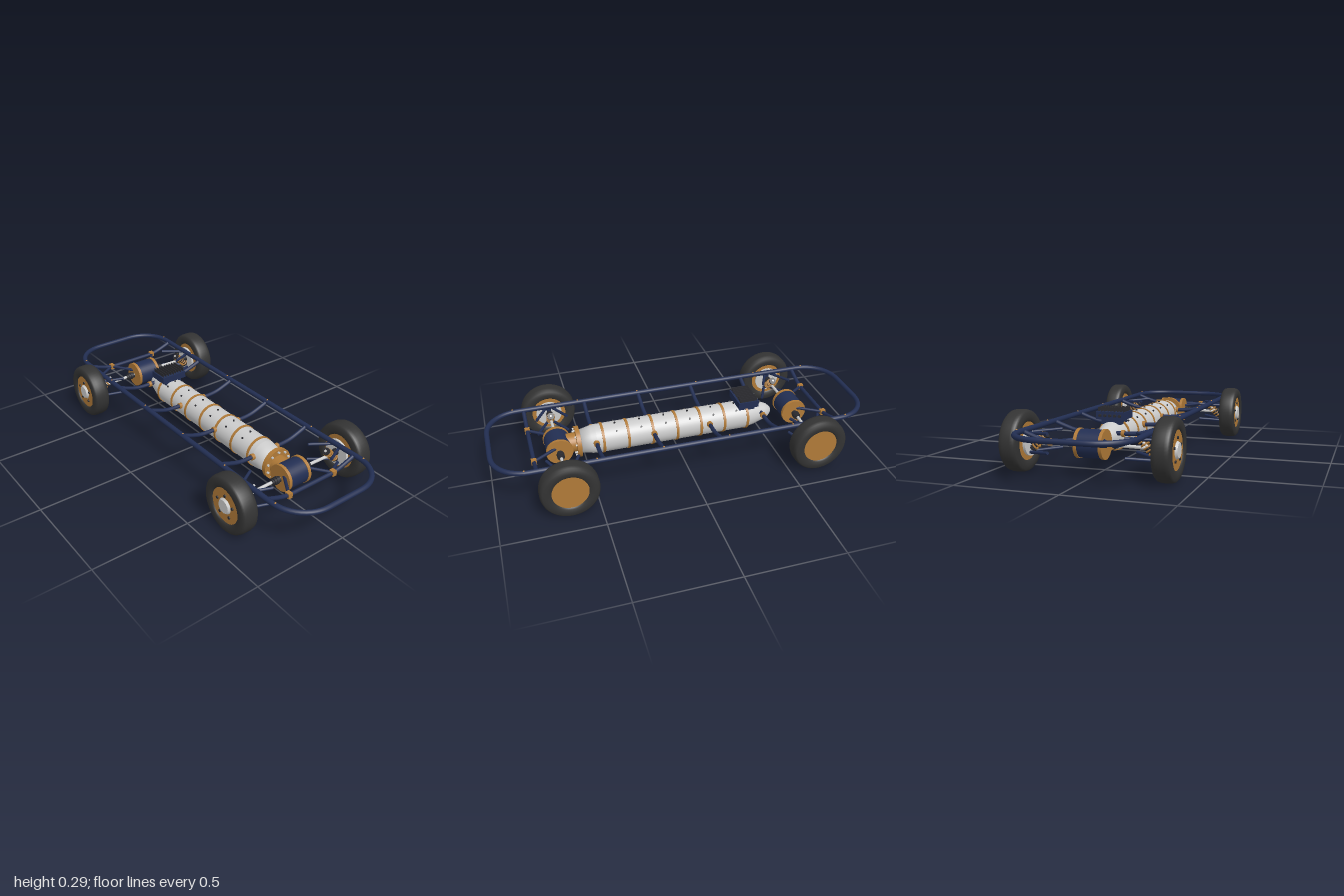
import * as THREE from 'three';

const mat = (color) => new THREE.MeshStandardMaterial({ color });
const navy = mat(0x222e52), brass = mat(0xb07a38), rubber = mat(0x333333);
const grey = mat(0xcccccc), black = mat(0x2b2b30);
const V = (x, y, z) => new THREE.Vector3(x, y, z);

function add(parent, name, geo, material, pos = [0, 0, 0], rot = [0, 0, 0]) {
  const m = new THREE.Mesh(geo, material);
  m.name = name;
  m.position.set(...pos);
  m.rotation.set(...rot);
  parent.add(m);
  return m;
}
// Round bar between two points
function rod(parent, name, a, b, r, material, seg = 14) {
  const m = add(parent, name, new THREE.CylinderGeometry(r, r, a.distanceTo(b), seg), material);
  m.position.copy(a).lerp(b, 0.5);
  m.quaternion.setFromUnitVectors(V(0, 1, 0), b.clone().sub(a).normalize());
  return m;
}
const tube = (pts, r, n = 48) => new THREE.TubeGeometry(new THREE.CatmullRomCurve3(pts, false, 'centripetal'), n, r, 12);
const lathe = (pts, seg = 48) => new THREE.LatheGeometry(pts.map((p) => new THREE.Vector2(...p)), seg);

// Rounded perimeter rail with dipping cross members
function buildFrame() {
  const g = new THREE.Group();
  g.name = 'frame';
  const X = 0.277, Z = 0.987, R = 0.17, y = 0.219, pts = [];
  const corners = [[X - R, Z - R], [R - X, Z - R], [R - X, R - Z], [X - R, R - Z]];
  corners.forEach(([cx, cz], i) => {
    for (let k = 0; k <= 8; k++) {
      const a = (i + k / 8) * Math.PI / 2;
      pts.push(V(cx + R * Math.cos(a), y, cz + R * Math.sin(a)));
    }
  });
  const path = new THREE.CurvePath();
  pts.forEach((p, i) => path.add(new THREE.LineCurve3(p, pts[(i + 1) % pts.length])));
  path.getPoint(0);
  const loop = new THREE.CatmullRomCurve3(path.getSpacedPoints(150).slice(0, -1), true);
  add(g, 'perimeterRail', new THREE.TubeGeometry(loop, 220, 0.013, 14, true), navy);

  for (const z of [-0.782, -0.46, -0.155, 0.15, 0.455, 0.782]) {
    const end = Math.abs(z) > 0.7;
    const half = [[0.277, 0.217], [0.22, 0.196], [0.17, 0.181], [0.13, 0.176], [0.07, 0.175]];
    const line = [...half.map(([x, h]) => V(-x, h, z)), ...half.reverse().map(([x, h]) => V(x, h, z))];
    add(g, 'crossMember', tube(line, 0.0105), navy);
    for (const s of [-1, 1]) {
      if (end) {
        add(g, 'braceClamp', new THREE.BoxGeometry(0.023, 0.027, 0.027), brass, [s * 0.14, 0.177, z]);
        rod(g, 'diagonalBrace', V(s * 0.14, 0.177, z), V(s * 0.058, 0.175, Math.sign(z) * 0.66), 0.008, navy);
      } else {
        add(g, 'mountCollar', new THREE.CylinderGeometry(0.016, 0.016, 0.016, 16), brass,
          [s * 0.078, 0.175, z], [0, 0, Math.PI / 2]);
      }
    }
  }
  for (const s of [-1, 1]) for (const z of [-0.84, -0.54, -0.19, 0.155, 0.49, 0.84])
    add(g, 'railRivet', new THREE.SphereGeometry(0.005, 8, 6), brass, [s * X * (Math.abs(z) > 0.8 ? 0.997 : 1), 0.231, z]);
  return g;
}

// Long banded vessel with tapered ends
function buildTank() {
  const g = new THREE.Group();
  g.name = 'tank';
  g.position.y = 0.155;
  const along = [Math.PI / 2, 0, 0];
  add(g, 'tankTail', lathe([[0, -0.532], [0.016, -0.53], [0.036, -0.51], [0.047, -0.485], [0.066, -0.42], [0.076, -0.37]]), grey, [0, 0, 0], along);
  add(g, 'tankBody', new THREE.CylinderGeometry(0.076, 0.076, 0.82, 48, 1, true), grey, [0, 0, 0.04], along);
  add(g, 'tankNose', lathe([[0.076, 0.45], [0.072, 0.475], [0.061, 0.525], [0, 0.525]]), grey, [0, 0, 0], along);
  for (let i = 0; i < 7; i++) {
    const z = -0.374 + i * 0.1315;
    add(g, 'tankBand', new THREE.CylinderGeometry(0.08, 0.08, 0.013, 48), brass, [0, 0, z], along);
    // Studs over the top between bands
    if (i < 6) for (const a of [-0.7, 0, 0.7])
      add(g, 'tankStud', new THREE.CylinderGeometry(0.005, 0.005, 0.008, 10), black,
        [Math.sin(a) * 0.077, Math.cos(a) * 0.077, z + 0.06], [0, 0, -a]);
  }
  // Bolted front flange
  add(g, 'flange', new THREE.CylinderGeometry(0.081, 0.081, 0.022, 48), brass, [0, 0, 0.542], along);
  add(g, 'flangeNeck', new THREE.CylinderGeometry(0.05, 0.05, 0.06, 32), brass, [0, 0, 0.57], along);
  for (let i = 0; i < 10; i++) {
    const a = i * Math.PI / 5;
    add(g, 'flangeBolt', new THREE.CylinderGeometry(0.006, 0.006, 0.01, 6), grey,
      [Math.sin(a) * 0.068, Math.cos(a) * 0.068, 0.556], along);
  }
  return g;
}

// Finned control box on the rear of the tank
function buildController() {
  const g = new THREE.Group();
  g.name = 'controller';
  g.position.set(0, 0, -0.375);
  add(g, 'controllerBase', new THREE.BoxGeometry(0.1, 0.03, 0.09), navy, [0, 0.223, 0]);
  add(g, 'controllerCase', new THREE.BoxGeometry(0.147, 0.036, 0.112), navy, [0, 0.252, 0]);
  for (let i = 0; i < 9; i++)
    add(g, 'coolingFin', new THREE.BoxGeometry(0.003, 0.02, 0.095), black, [-0.065 + i * 0.01625, 0.279, 0]);
  for (let i = 0; i < 5; i++)
    add(g, 'connector', new THREE.CylinderGeometry(0.007, 0.007, 0.014, 10), black,
      [-0.05 + i * 0.025, 0.252, -0.061], [Math.PI / 2, 0, 0]);
  return g;
}

// Drive unit, shafts, arms and shocks of one axle
function buildAxle(name, z) {
  const g = new THREE.Group();
  g.name = name;
  g.position.z = z;
  const side = [0, 0, Math.PI / 2], y = 0.154;
  add(g, 'driveUnit', new THREE.CylinderGeometry(0.066, 0.066, 0.11, 40), navy, [0, y, 0], side);
  for (const s of [-1, 1]) {
    add(g, 'driveCap', new THREE.CylinderGeometry(0.069, 0.069, 0.016, 40), brass, [s * 0.06, y, 0], side);
    rod(g, 'halfShaft', V(s * 0.06, 0.155, 0), V(s * 0.33, 0.148, 0), 0.008, grey);
    // Ribbed rubber boots
    for (const [x, r] of [[0.079, 0.016], [0.092, 0.02], [0.105, 0.019], [0.116, 0.014], [0.278, 0.013], [0.29, 0.016], [0.301, 0.018]])
      add(g, 'shaftBoot', new THREE.CylinderGeometry(r, r, 0.011, 20), black, [s * x, 0.153, 0], side);
    // Upper and lower wishbones
    for (const t of [-1, 1]) {
      rod(g, 'upperArm', V(s * 0.185, 0.201, t * 0.08), V(s * 0.318, 0.189, t * 0.012), 0.0075, navy);
      rod(g, 'lowerArm', V(s * 0.185, 0.113, t * 0.08), V(s * 0.318, 0.098, t * 0.012), 0.0075, navy);
    }
    rod(g, 'upright', V(s * 0.318, 0.092, 0), V(s * 0.318, 0.196, 0), 0.012, navy);
    // Coil-over shock
    const a = V(s * 0.305, 0.112, 0), b = V(s * 0.225, 0.19, 0);
    rod(g, 'shockRod', a, b, 0.006, grey);
    rod(g, 'shockBody', a, a.clone().lerp(b, 0.5), 0.011, black);
    for (const k of [0.08, 0.52, 0.9])
      rod(g, 'shockSeat', a.clone().lerp(b, k - 0.04), a.clone().lerp(b, k + 0.04), 0.019, black, 20);
    const coil = [];
    for (let i = 0; i <= 60; i++) {
      const w = i / 60 * Math.PI * 10;
      coil.push(V(0.018 * Math.cos(w), (i / 60 - 0.5) * 0.085, 0.018 * Math.sin(w)));
    }
    const spring = add(g, 'shockSpring', new THREE.TubeGeometry(new THREE.CatmullRomCurve3(coil), 120, 0.0042, 6), brass);
    spring.position.copy(a).lerp(b, 0.5);
    spring.quaternion.setFromUnitVectors(V(0, 1, 0), b.clone().sub(a).normalize());
    g.add(buildWheel(s));
  }
  return g;
}

// Wheel: local +y ends up pointing to -x
function buildWheel(s) {
  const g = new THREE.Group();
  g.name = s > 0 ? 'leftWheel' : 'rightWheel';
  g.position.set(s * 0.36, 0.149, 0);
  g.rotation.z = Math.PI / 2;
  const half = [[0.09, 0.036], [0.097, 0.043], [0.115, 0.045], [0.134, 0.042], [0.142, 0.034], [0.146, 0.018]];
  const low = half.map(([r, h]) => [r, -h]);
  add(g, 'tyre', lathe([...low, ...half.slice().reverse(), low[0]], 56), rubber);
  add(g, 'rim', new THREE.CylinderGeometry(0.093, 0.093, 0.072, 48), brass);
  add(g, 'hub', new THREE.CylinderGeometry(0.034, 0.042, 0.012, 12), grey, [0, 0.041, 0]);
  for (let i = 0; i < 5; i++) {
    const a = i * Math.PI * 0.4;
    add(g, 'wheelBolt', new THREE.CylinderGeometry(0.007, 0.007, 0.008, 8), black,
      [Math.cos(a) * 0.056, 0.038, Math.sin(a) * 0.056]);
  }
  add(g, 'brakeDisc', new THREE.CylinderGeometry(0.069, 0.069, 0.012, 40), grey, [0, s > 0 ? 0.049 : -0.037, 0]);
  return g;
}

export function createModel() {
  const model = new THREE.Group();
  model.name = 'rollingChassis';
  model.add(buildFrame(), buildTank(), buildController(), buildAxle('frontAxle', 0.645), buildAxle('rearAxle', -0.648));
  return model;
}
